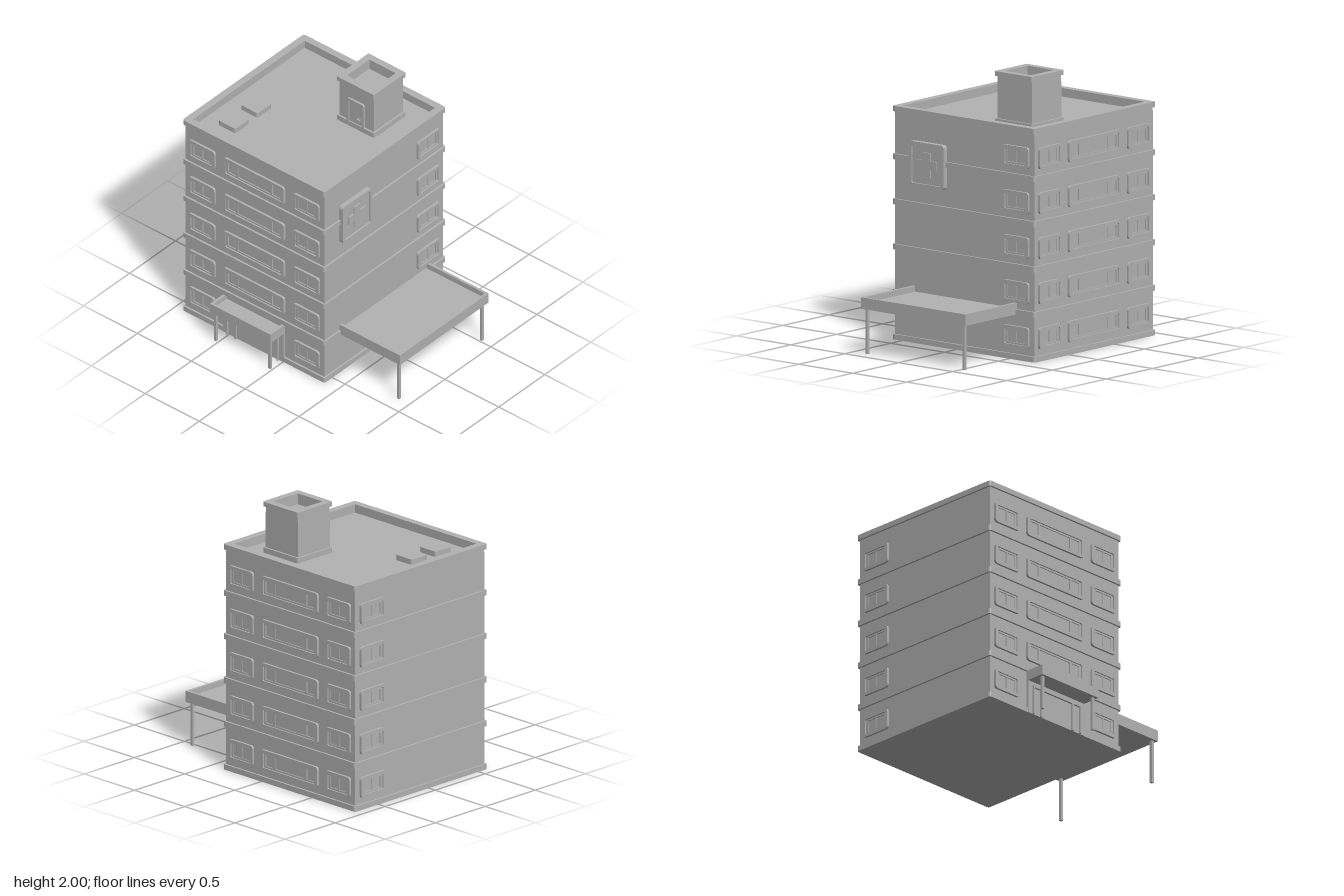
import * as THREE from 'three';

const wallGrey = new THREE.MeshStandardMaterial({ color: 0xb2b2b2 });
wallGrey.name = 'wallGrey';

// Footprint centre of the main block
const CX = -0.277, CZ = -0.075;

// Trace a rounded rectangle into a Shape or Path
function roundRect(target, cx, cy, w, h, r) {
  const x0 = cx - w / 2, x1 = cx + w / 2, y0 = cy - h / 2, y1 = cy + h / 2;
  target.moveTo(x0 + r, y0);
  target.lineTo(x1 - r, y0);
  target.quadraticCurveTo(x1, y0, x1, y0 + r);
  target.lineTo(x1, y1 - r);
  target.quadraticCurveTo(x1, y1, x1 - r, y1);
  target.lineTo(x0 + r, y1);
  target.quadraticCurveTo(x0, y1, x0, y1 - r);
  target.lineTo(x0, y0 + r);
  target.quadraticCurveTo(x0, y0, x0 + r, y0);
  return target;
}

function addMesh(parent, name, geometry) {
  const mesh = new THREE.Mesh(geometry, wallGrey);
  mesh.name = name;
  parent.add(mesh);
  return mesh;
}

// Box given by its minimum and maximum corners
function box(parent, name, x0, x1, y0, y1, z0, z1) {
  const mesh = addMesh(parent, name, new THREE.BoxGeometry(x1 - x0, y1 - y0, z1 - z0));
  mesh.position.set((x0 + x1) / 2, (y0 + y1) / 2, (z0 + z1) / 2);
  return mesh;
}

// Upright plate with rounded corners and optional openings [cx, cy, w, h, r]
function plate(parent, name, outer, holes, z0, z1) {
  const shape = roundRect(new THREE.Shape(), ...outer);
  for (const h of holes) shape.holes.push(roundRect(new THREE.Path(), ...h));
  const geo = new THREE.ExtrudeGeometry(shape, { depth: z1 - z0, bevelEnabled: false, curveSegments: 4 });
  geo.translate(0, 0, z0);
  return addMesh(parent, name, geo);
}

// Horizontal slab with rounded corners and an optional opening
function slab(parent, name, cx, cz, w, d, y0, y1, holes = [], r = 0.02) {
  const mesh = plate(parent, name, [0, 0, w, d, r], holes, 0, y1 - y0);
  mesh.rotation.x = -Math.PI / 2;
  mesh.position.set(cx, y0, cz);
  return mesh;
}

// Framed window on a facade whose outside faces local +z; panes are [offset, width]
function addWindow(facade, x, y, w, panes) {
  const g = new THREE.Group();
  g.name = 'window';
  g.position.set(x, y, 0);
  plate(g, 'windowSurround', [0, 0, w, 0.155, 0.025], [[0, 0, w - 0.045, 0.112, 0.01]], -0.002, 0.017);
  plate(g, 'windowSash', [0, 0, w - 0.045, 0.112, 0.01],
    panes.map(([px, pw]) => [px, 0, pw, 0.085, 0.003]), -0.002, 0.007);
  facade.add(g);
}

const smallPanes = [[-0.042, 0.074], [0.042, 0.074]];
const widePanes = [[-0.204, 0.074], [0, 0.3], [0.204, 0.074]];

function facade(model, name, x, z, turn) {
  const g = new THREE.Group();
  g.name = name;
  g.position.set(x, 0, z);
  g.rotation.y = turn;
  model.add(g);
  return g;
}

// Tray-shaped canopy: floor plus raised rim on three sides
function canopy(parent, name, x0, x1, z0, z1, y0, y1, openSide) {
  const g = new THREE.Group();
  g.name = name;
  parent.add(g);
  const t = 0.02, f = y0 + (y1 - y0) * 0.5;
  box(g, 'canopyFloor', x0, x1, y0, f, z0, z1);
  box(g, 'canopyRim', x1 - t, x1, f, y1, z0, z1);
  if (openSide !== 'x') box(g, 'canopyRim', x0, x0 + t, f, y1, z0, z1);
  box(g, 'canopyRim', x0, x1, f, y1, z1 - t, z1);
  if (openSide !== 'z') box(g, 'canopyRim', x0, x1, f, y1, z0, z0 + t);
  return g;
}

function post(parent, x, z, top) {
  box(parent, 'canopyPost', x - 0.01, x + 0.01, 0, top, z - 0.01, z + 0.01);
}

export function createModel() {
  const model = new THREE.Group();
  model.name = 'hospitalBuilding';

  // Main block, floor bands and roof parapet
  box(model, 'mainBlock', -0.922, 0.368, 0.01, 1.62, -0.72, 0.57);
  for (const y of [0, 0.322, 0.649, 0.974, 1.298]) {
    slab(model, 'floorBand', CX, CZ, 1.32, 1.32, y, y + 0.04);
  }
  const roofHole = [[0, 0, 1.21, 1.21, 0.002]];
  slab(model, 'parapetWall', CX, CZ, 1.29, 1.29, 1.615, 1.645, roofHole, 0.002);
  slab(model, 'parapetCap', CX, CZ, 1.32, 1.32, 1.643, 1.682, roofHole);

  // Windows on all four sides, five storeys
  const front = facade(model, 'frontFacade', 0, 0.57, 0);
  const back = facade(model, 'backFacade', 0, -0.72, Math.PI);
  const leftSide = facade(model, 'leftFacade', 0.368, 0, Math.PI / 2);
  const rightSide = facade(model, 'rightFacade', -0.922, 0, -Math.PI / 2);
  for (let i = 0; i < 5; i++) {
    const y = 0.164 + i * 0.324;
    for (const [g, s] of [[front, 1], [back, -1]]) {
      addWindow(g, s * -0.76, y, 0.242, smallPanes);
      addWindow(g, s * 0.207, y, 0.242, smallPanes);
      if (g === back || i > 0) addWindow(g, s * CX, y, 0.565, widePanes);
    }
    addWindow(leftSide, 0.555, y, 0.242, smallPanes);
    addWindow(rightSide, -0.555, y, 0.242, smallPanes);
  }

  // Wall sign with a raised cross
  const sign = new THREE.Group();
  sign.name = 'crossSign';
  sign.position.set(-0.25, 1.297, 0);
  leftSide.add(sign);
  plate(sign, 'signFrame', [0, 0, 0.32, 0.32, 0.025], [[0, 0, 0.278, 0.278, 0.015]], 0, 0.037);
  plate(sign, 'signPanel', [0, 0, 0.28, 0.28, 0.015], [], 0, 0.024);
  const a = 0.033, b = 0.09;
  const cross = new THREE.Shape([[-a, -b], [a, -b], [a, -a], [b, -a], [b, a], [a, a], [a, b],
    [-a, b], [-a, a], [-b, a], [-b, -a], [-a, -a]].map(p => new THREE.Vector2(...p)));
  const crossMesh = addMesh(sign, 'cross', new THREE.ExtrudeGeometry(cross, { depth: 0.012, bevelEnabled: false }));
  crossMesh.position.z = 0.022;

  // Entrance: backing, door frame with openings, canopy and posts
  const entrance = new THREE.Group();
  entrance.name = 'entrance';
  model.add(entrance);
  box(entrance, 'entranceWall', -0.555, 0.003, 0, 0.26, 0.55, 0.588);
  box(entrance, 'doorHeader', -0.515, -0.037, 0.205, 0.22, 0.585, 0.603);
  for (const [x0, x1] of [[-0.515, -0.505], [-0.44, -0.425], [-0.125, -0.11], [-0.047, -0.037]]) {
    box(entrance, 'doorJamb', x0, x1, 0, 0.207, 0.585, 0.603);
  }
  canopy(entrance, 'entranceCanopy', -0.557, 0.005, 0.56, 0.73, 0.25, 0.325, 'z');
  post(entrance, -0.527, 0.7, 0.27);
  post(entrance, -0.023, 0.7, 0.27);

  // Side drop-off canopy
  const dropOff = canopy(model, 'sideCanopy', 0.36, 0.93, -0.558, 0.406, 0.325, 0.408, 'x');
  post(dropOff, 0.897, 0.377, 0.34);
  post(dropOff, 0.897, -0.523, 0.34);

  // Stair tower on the roof
  const tower = new THREE.Group();
  tower.name = 'stairTower';
  tower.position.set(0.005, 0, -0.365);
  model.add(tower);
  box(tower, 'towerWalls', -0.16, 0.16, 1.61, 1.92, -0.16, 0.16);
  const towerHole = [[0, 0, 0.245, 0.245, 0.002]];
  slab(tower, 'towerParapet', 0, 0, 0.32, 0.32, 1.915, 1.968, towerHole, 0.002);
  slab(tower, 'towerCap', 0, 0, 0.35, 0.35, 1.966, 2, towerHole, 0.012);
  slab(tower, 'towerBaseTrim', 0, 0, 0.35, 0.35, 1.615, 1.66, [], 0.012);

  // Tower door with raised surround and handle
  plate(tower, 'towerDoorSurround', [0, 1.74, 0.158, 0.24, 0.02],
    [[0, 1.73, 0.118, 0.22, 0.012]], 0.158, 0.177);
  plate(tower, 'towerDoor', [0, 1.73, 0.12, 0.22, 0.012], [], 0.158, 0.166);
  box(tower, 'doorHandle', 0.018, 0.042, 1.705, 1.715, 0.164, 0.182);
  box(tower, 'doorHandlePlate', 0.03, 0.042, 1.695, 1.725, 0.164, 0.172);

  // Roof vents
  for (const z of [0.085, 0.325]) slab(model, 'roofVent', -0.68, z, 0.16, 0.155, 1.615, 1.66);

  return model;
}
